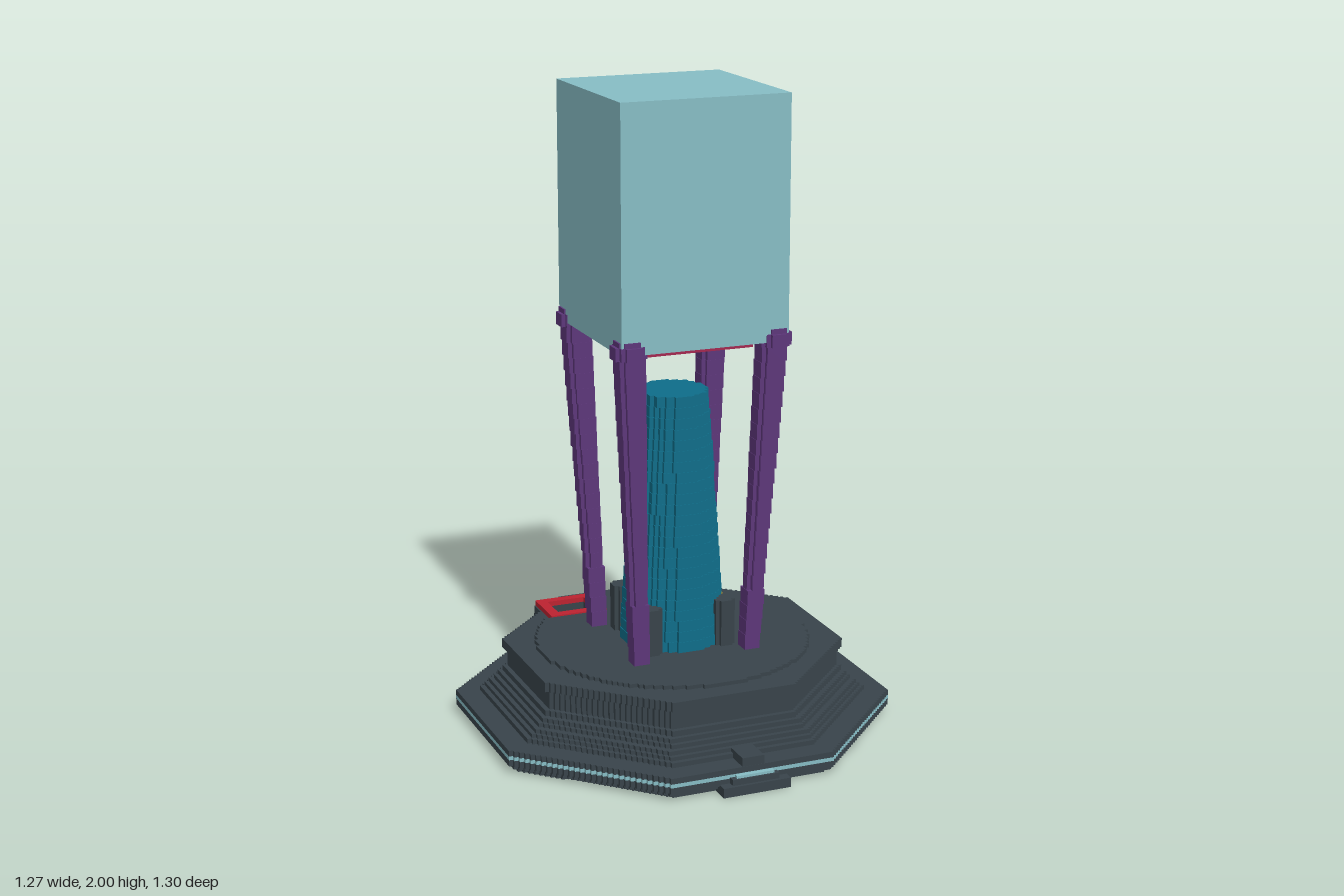
import * as THREE from 'three';

const V = 1 / 78; // stair-step size

const paint = (name, color) => {
  const m = new THREE.MeshStandardMaterial({ color });
  m.name = name;
  return m;
};

// Stair-stepped outline, symmetric in x, from a half-width rule per row
function steppedShape(half, widthAt) {
  const n = Math.max(1, Math.round((2 * half) / V));
  const h = (2 * half) / n;
  const right = [];
  for (let i = 0; i < n; i++) {
    const y = -half + i * h;
    const w = half - Math.round((half - widthAt(y + h / 2)) / V) * V;
    const last = right[right.length - 1];
    if (last && Math.abs(last.x - w) < 1e-6) last.y = y + h;
    else right.push(new THREE.Vector2(w, y), new THREE.Vector2(w, y + h));
  }
  const left = right.map((p) => new THREE.Vector2(-p.x, p.y)).reverse();
  return new THREE.Shape([...right, ...left]);
}

const octagon = (half) => (y) => Math.min(half, 1.405 * half - Math.abs(y));
const circle = (r) => (y) => Math.sqrt(Math.max(0, r * r - y * y));

// Rectangle path, centred on (x, y)
function rect(Type, x, y, w, h) {
  return new Type([[-1, -1], [1, -1], [1, 1], [-1, 1]].map(
    ([a, b]) => new THREE.Vector2(x + (a * w) / 2, y + (b * h) / 2)));
}

export function createModel() {
  const dark = paint('darkSlate', 0x38434a);
  const glass = paint('paleTeal', 0x86bcc4);
  const teal = paint('deepTeal', 0x0e6d89);
  const purple = paint('purple', 0x5c3679);
  const crimson = paint('crimson', 0xa3264f);
  const red = paint('red', 0xbb2230);
  const yellow = paint('amber', 0xc29826);

  const model = new THREE.Group();
  model.name = 'tower';
  const body = new THREE.Group();
  body.name = 'body';
  body.position.z = -0.016;
  model.add(body);

  const add = (name, geometry, material, x = 0, y = 0, z = 0, parent = body) => {
    const mesh = new THREE.Mesh(geometry, material);
    mesh.name = name;
    mesh.position.set(x, y, z);
    parent.add(mesh);
    return mesh;
  };
  // Horizontal slab from a plan shape (shape y points to the back)
  const slab = (name, shape, y0, y1, material, x = 0, z = 0, parent = body) => {
    const g = new THREE.ExtrudeGeometry(shape, { depth: y1 - y0, bevelEnabled: false });
    g.rotateX(-Math.PI / 2);
    return add(name, g, material, x, y0, z, parent);
  };
  const box = (name, w, h, d, material, x, y, z) =>
    add(name, new THREE.BoxGeometry(w, h, d), material, x, y, z);

  // Octagonal base: bottom, top, half width
  const pitX = 0.205, pitY = 0.37;
  const layers = [
    [0, 0.012, 0.605], [0.012, 0.025, 0.62], [0.025, 0.045, 0.635],
    [0.045, 0.057, 0.635], [0.057, 0.075, 0.635], [0.075, 0.09, 0.565],
    [0.09, 0.102, 0.55], [0.102, 0.115, 0.537], [0.115, 0.128, 0.523],
    [0.128, 0.142, 0.51], [0.142, 0.16, 0.497], [0.16, 0.22, 0.482],
    [0.22, 0.25, 0.497],
  ];
  layers.forEach(([y0, y1, half], i) => {
    const withPits = i >= 10;
    const oct = octagon(half);
    // Upper layers bulge at the back to house the two pits
    const shape = steppedShape(half, (y) =>
      withPits && y > 0.29 && y < 0.45 ? Math.max(oct(y), 0.3) : oct(y));
    if (withPits) {
      for (const s of [-1, 1]) shape.holes.push(rect(THREE.Path, s * pitX, pitY, 0.125, 0.1));
    }
    slab(i === 3 ? 'lightBand' : 'baseLayer', shape, y0, y1, i === 3 ? glass : dark);
  });

  // Round deck, cut back between the pits
  const disc = circle(0.43);
  slab('deck', steppedShape(0.43, (y) => (y > 0.29 ? Math.min(0.108, disc(y)) : disc(y))),
    0.25, 0.262, dark);

  // Coloured pit rims and floors
  for (const [s, mat, name] of [[-1, red, 'red'], [1, yellow, 'amber']]) {
    const rim = rect(THREE.Shape, s * pitX, pitY, 0.19, 0.16);
    rim.holes.push(rect(THREE.Path, s * pitX, pitY, 0.125, 0.1));
    slab(name + 'PitRim', rim, 0.25, 0.266, mat);
    box(name + 'PitFloor', 0.125, 0.006, 0.1, mat, s * pitX, 0.146, -pitY);
  }

  // Front step and ramp
  box('frontStep', 0.216, 0.03, 0.09, dark, 0, 0.015, 0.621);
  box('frontStepTop', 0.15, 0.018, 0.075, dark, 0, 0.039, 0.619);
  box('stepLight', 0.12, 0.008, 0.016, glass, 0, 0.052, 0.643);
  box('ramp', 0.07, 0.04, 0.14, dark, 0, 0.082, 0.564);

  // Central tapering column
  const column = new THREE.Group();
  column.name = 'column';
  body.add(column);
  const steps = 24;
  for (let i = 0; i < steps; i++) {
    const r = 0.16 - 0.053 * ((i + 0.5) / steps);
    const dy = (1.068 - 0.262) / steps;
    slab('columnLayer', steppedShape(r, circle(r)), 0.262 + i * dy, 0.262 + (i + 1) * dy,
      teal, 0, 0, column);
  }

  // Splayed legs with a knob at the top and a dark bracket at the foot
  for (const sx of [-1, 1]) for (const sz of [-1, 1]) {
    const leg = new THREE.Group();
    leg.name = 'leg';
    body.add(leg);
    const n = 20;
    for (let i = 0; i < n; i++) {
      const t = (i + 0.5) / n;
      const r = 0.025 + 0.017 * t;
      const c = 0.183 + 0.046 * t;
      const dy = (1.24 - 0.262) / n;
      slab('legLayer', steppedShape(r, circle(r * 1.08)), 0.262 + i * dy, 0.262 + (i + 1) * dy,
        purple, sx * c, sz * c, leg);
    }
    slab('legKnob', steppedShape(0.05, circle(0.052)), 1.24, 1.28, purple, sx * 0.233, sz * 0.233, leg);
    slab('legCap', steppedShape(0.038, circle(0.04)), 1.28, 1.295, purple, sx * 0.235, sz * 0.235, leg);
    slab('footBracket', steppedShape(0.032, circle(0.034)), 0.262, 0.41, dark, sx * 0.122, sz * 0.122, leg);
  }

  // Tank and its underside plate
  box('tank', 0.536, 0.745, 0.536, glass, 0, 1.6275, 0);
  box('tankPlate', 0.375, 0.03, 0.375, crimson, 0, 1.24, 0);

  return model;
}
